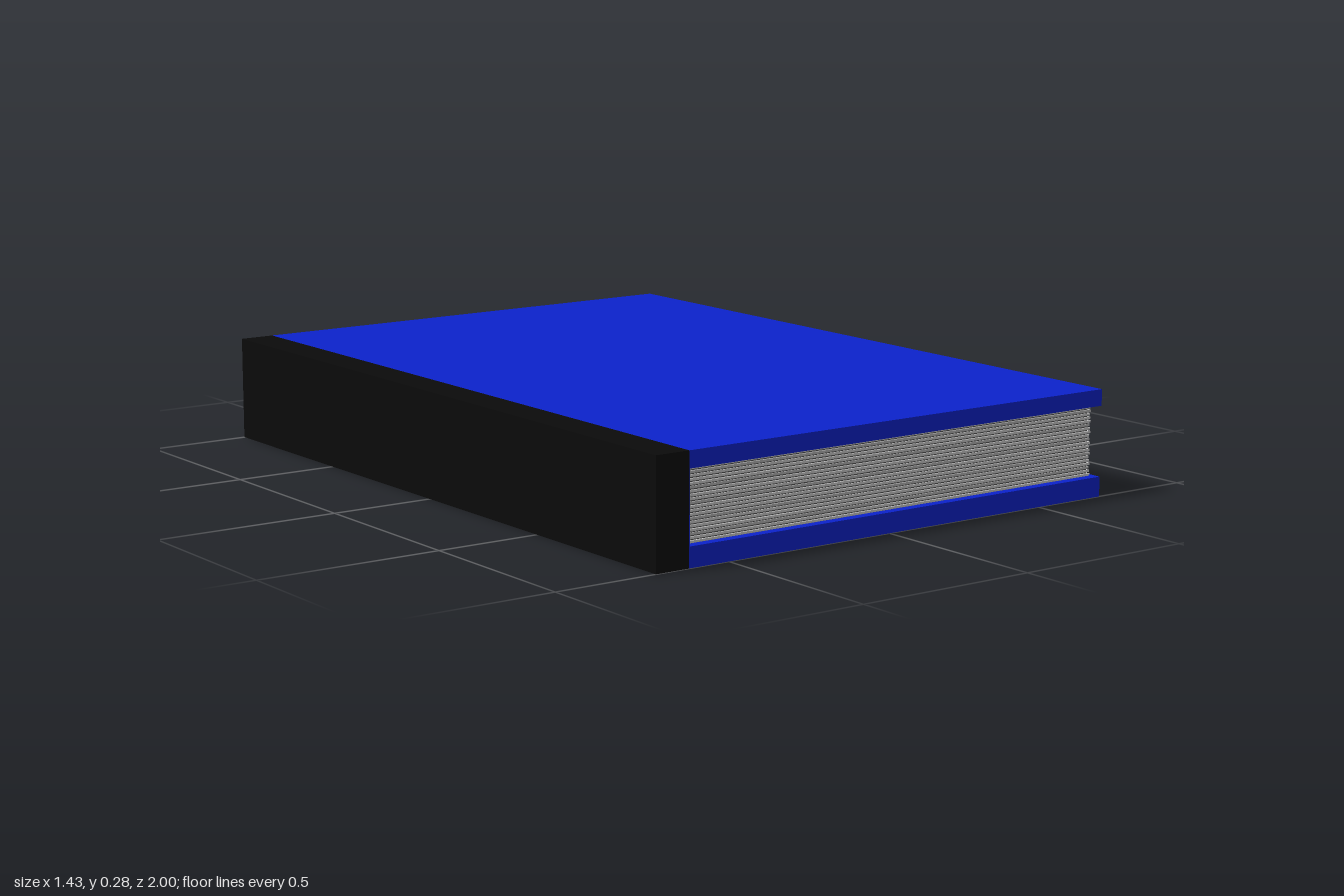
import * as THREE from 'three';

export function createModel() {
  const book = new THREE.Group();
  book.name = 'book';

  const mat = (color) => new THREE.MeshStandardMaterial({ color });
  const blue = mat(0x0c22cc), black = mat(0x0b0b0b);
  const papers = [mat(0xcccccc), mat(0xb4b4b4), mat(0xc2c2c2)], gap = mat(0x555555);

  // Box given by its extents along each axis
  const box = (name, material, [x0, x1], [y0, y1], [z0, z1], parent = book) => {
    const mesh = new THREE.Mesh(new THREE.BoxGeometry(x1 - x0, y1 - y0, z1 - z0), material);
    mesh.position.set((x0 + x1) / 2, (y0 + y1) / 2, (z0 + z1) / 2);
    mesh.name = name;
    parent.add(mesh);
    return mesh;
  };

  const X = 0.715, H = 0.285, hinge = -0.618;
  const low = 0.053, high = 0.241;

  // Hard covers, spine and the blue lining inside the spine
  box('bottomCover', blue, [hinge, X], [0, low], [-1, 1]);
  box('topCover', blue, [hinge, X], [high, H], [-1, 1]);
  box('spine', black, [-X, hinge], [0, H], [-1, 1]);
  box('spineLining', blue, [hinge, hinge + 0.003], [low, high], [-0.999, 0.999]);

  // Page block: a dark core with slightly uneven sheets standing out of it
  const pages = new THREE.Group();
  pages.name = 'pages';
  book.add(pages);
  const left = hinge + 0.002;
  box('pageCore', gap, [left, 0.69], [low, high], [-0.975, 0.975], pages);
  const count = 20, step = (high - low) / count;
  for (let i = 0; i < count; i++) {
    const y = low + i * step;
    const inset = 0.002 * ((i * 7) % 3) / 2;
    box('sheet', papers[(i * 5 + (i >> 2)) % 3], [left, 0.697 - inset],
      [y + step * 0.18, y + step * 0.82], [-0.98 + inset, 0.98 - inset], pages);
  }
  return book;
}
